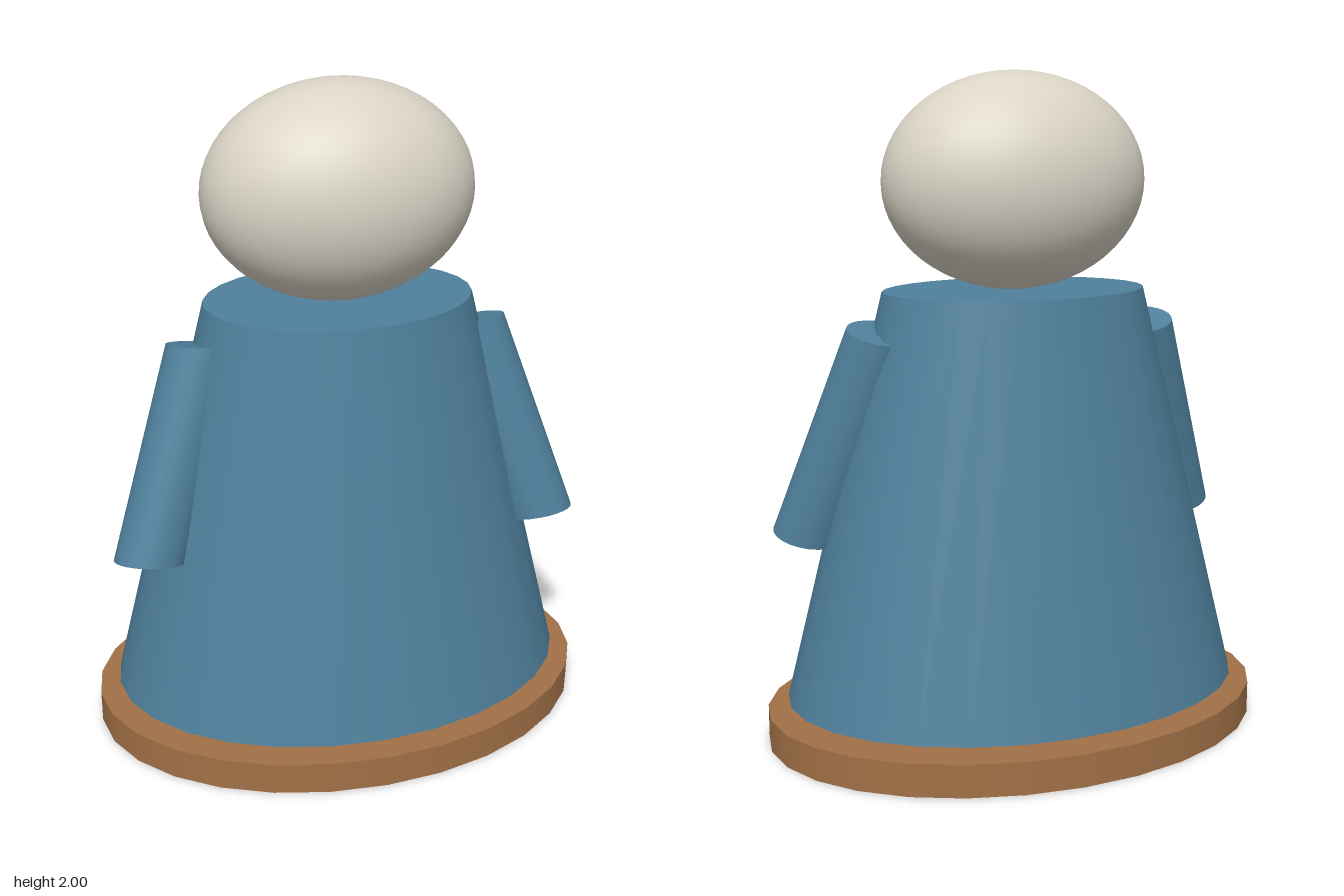
import * as THREE from 'three';

const robeBlue = new THREE.MeshStandardMaterial({ name: 'robe blue', color: 0x4f809c });
const woodBrown = new THREE.MeshStandardMaterial({ name: 'wood brown', color: 0xa27147 });
const ivory = new THREE.MeshStandardMaterial({ name: 'ivory', color: 0xdad4c6 });

// Everything is stretched sideways: depth is a fixed share of the width
const DEPTH = 0.716;

function addMesh(group, name, geometry, material) {
  const mesh = new THREE.Mesh(geometry, material);
  mesh.name = name;
  group.add(mesh);
}

// Upright oval cone or disc between two heights
function ovalCone(topRadius, bottomRadius, y0, y1) {
  return new THREE.CylinderGeometry(topRadius, bottomRadius, y1 - y0, 28)
    .scale(1, 1, DEPTH)
    .translate(0, (y0 + y1) / 2, 0);
}

// Leaning oval sleeve, running down, outward and forward from the shoulder
function sleeve(side) {
  const top = new THREE.Vector3(side * 0.408, 1.245, 0);
  const bottom = new THREE.Vector3(side * 0.613, 0.627, 0.13);
  const across = new THREE.Vector3(0.11, side * 0.013, 0);
  const forward = new THREE.Vector3(0, 0.025, 0.0975);
  const along = top.clone().sub(bottom);
  const matrix = new THREE.Matrix4()
    .makeBasis(across, along, forward)
    .setPosition(top.add(bottom).multiplyScalar(0.5));
  return new THREE.CylinderGeometry(1, 1, 1, 24).applyMatrix4(matrix);
}

export function createModel() {
  const model = new THREE.Group();
  model.name = 'robedFigurine';

  addMesh(model, 'base', ovalCone(0.777, 0.777, 0, 0.1), woodBrown);
  addMesh(model, 'robe', ovalCone(0.404, 0.714, 0.13, 1.36), robeBlue);
  addMesh(model, 'leftArm', sleeve(1), robeBlue);
  addMesh(model, 'rightArm', sleeve(-1), robeBlue);

  const head = new THREE.SphereGeometry(1, 40, 28).scale(0.402, 0.32, 0.288).translate(0, 1.68, 0);
  addMesh(model, 'head', head, ivory);

  return model;
}
